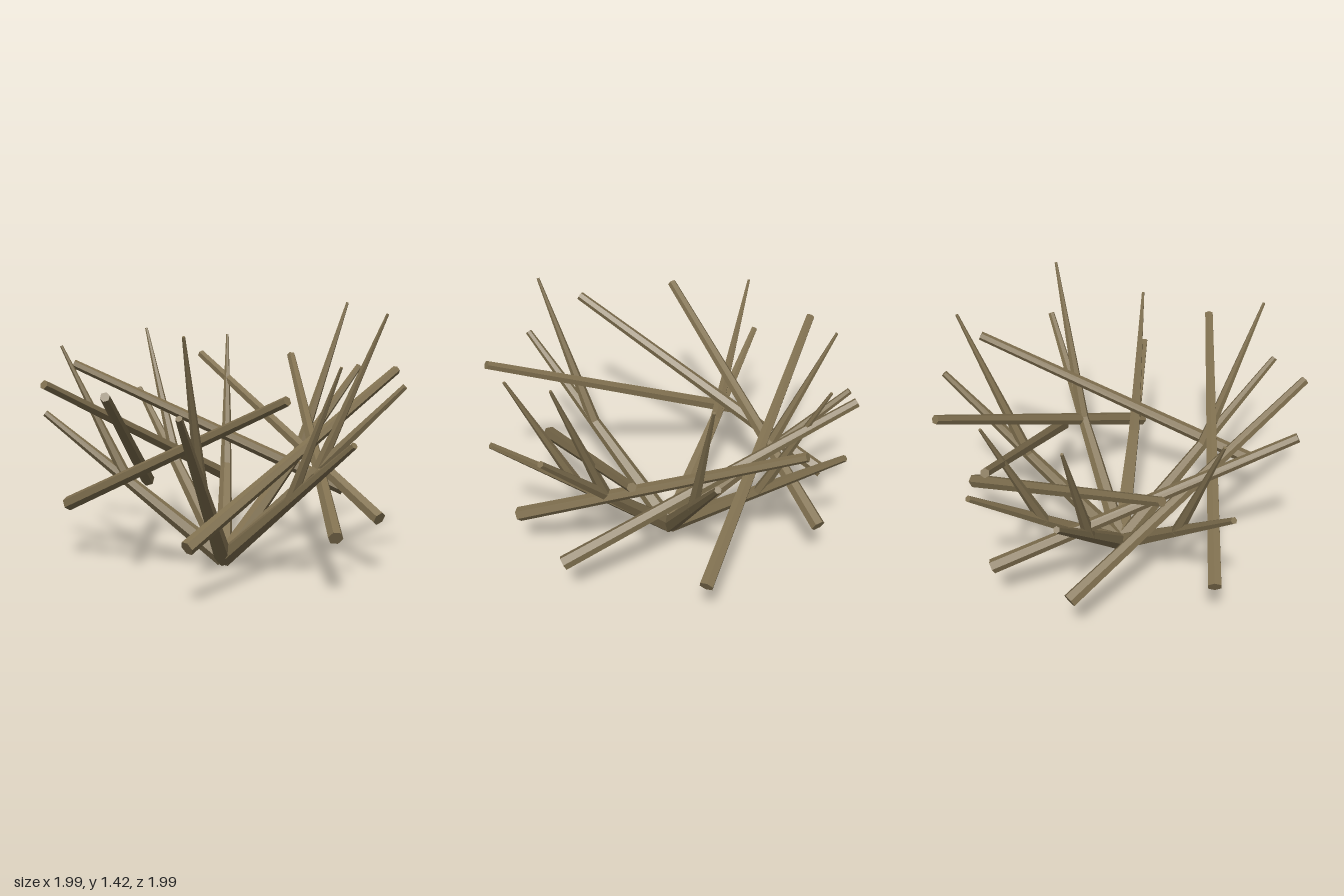
import * as THREE from 'three';

const wood = new THREE.MeshStandardMaterial({ color: 0x817150, flatShading: true });
wood.name = 'dry wood';

const UP = new THREE.Vector3(0, 1, 0);

// Tapered six-sided stick running from point a to point b
function stick(name, a, b, radiusA, radiusB) {
  const dir = b.clone().sub(a);
  const mesh = new THREE.Mesh(new THREE.CylinderGeometry(radiusB, radiusA, dir.length(), 6), wood);
  mesh.position.copy(a).addScaledVector(dir, 0.5);
  mesh.quaternion.setFromUnitVectors(UP, dir.normalize());
  mesh.name = name;
  return mesh;
}

export function createModel() {
  const group = new THREE.Group();
  group.name = 'twigNest';

  // Main branches fan out from the base; each carries an upright thorn twig
  const base = new THREE.Vector3(0, 0.045, 0);
  const tips = [
    [0.983, 1.045, -0.005], [0.825, 0.82, 0.53], [0.073, 0.99, 0.983], [-0.983, 0.84, 0.16],
    [-0.735, 0.875, -0.672], [-0.26, 0.825, -0.96], [0.592, 1.045, -0.79],
  ];
  tips.forEach((t, i) => {
    const branch = new THREE.Group();
    branch.name = `branch${i + 1}`;
    const tip = new THREE.Vector3(...t);
    const fork = base.clone().lerp(tip, 0.54);
    const thornTip = new THREE.Vector3(t[0] * 0.9, t[1] + 0.375, t[2] * 0.9);
    branch.add(stick('mainBranch', base, tip, 0.05, 0.018));
    branch.add(stick('thornTwig', fork, thornTip, 0.034, 0.008));
    group.add(branch);
  });

  // Woven cross sticks: thick end low, thin end high, as [x, z] pairs
  const woven = [
    [0.865, 0, -0.415, -0.91], [0.725, 0.465, 0.135, -0.985], [0.07, 0.865, 0.86, -0.485],
    [-0.865, 0.14, 0.555, 0.815], [-0.655, -0.585, -0.315, 0.94], [-0.235, -0.85, -0.775, 0.625],
    [0.53, -0.685, -0.975, -0.23],
  ];
  woven.forEach(([x0, z0, x1, z1], i) => {
    group.add(stick(`wovenStick${i + 1}`, new THREE.Vector3(x0, 0.33, z0),
      new THREE.Vector3(x1, 1.07, z1), 0.04, 0.025));
  });
  return group;
}
